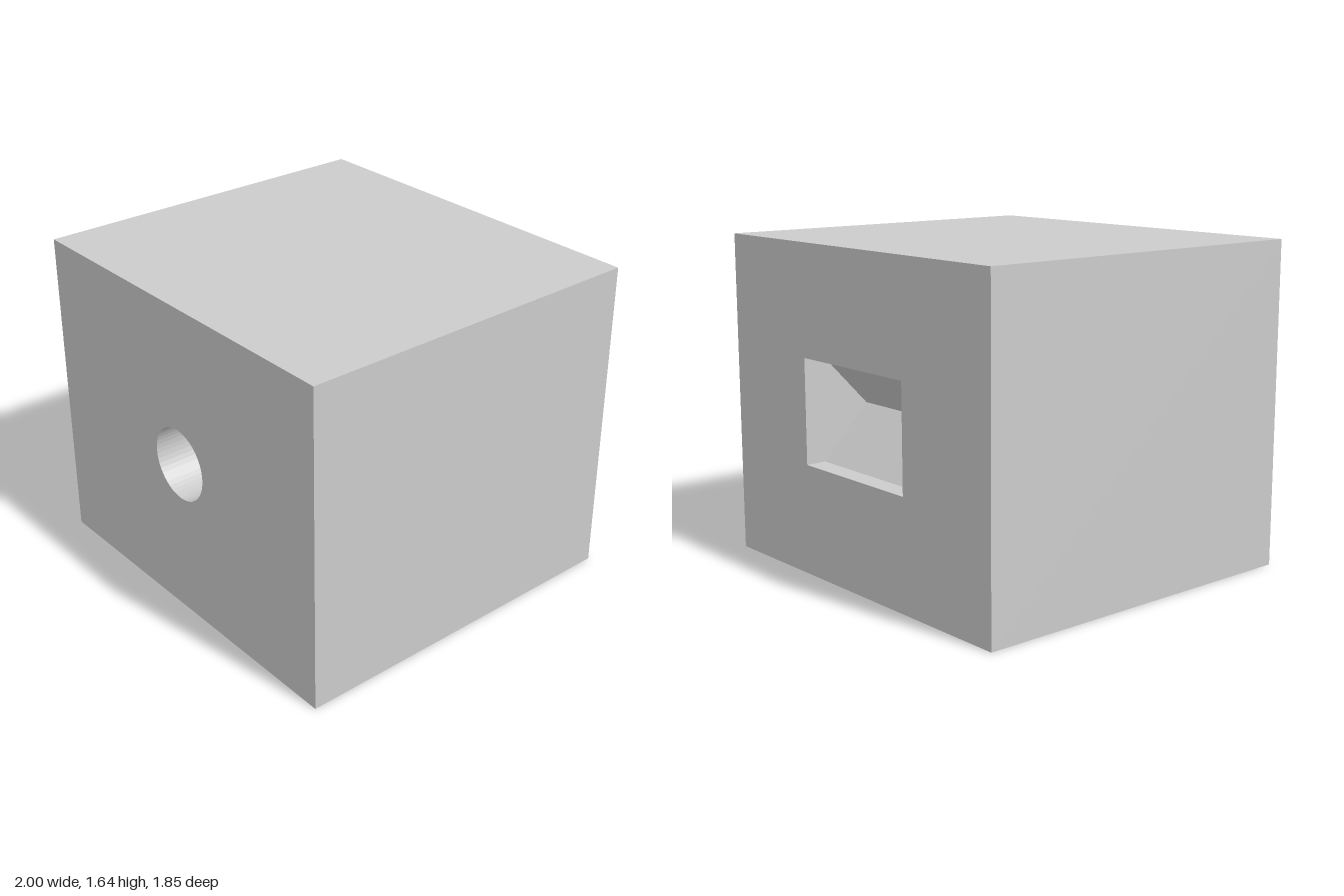
import * as THREE from 'three';

const W = 2, H = 1.645, D = 1.845, CY = H / 2;
const HOLE_R = 0.186, HOLE_DEPTH = 0.24, SEG = 48;
const POCKET_W = 0.775, POCKET_H = 0.53, POCKET_STRAIGHT = 0.105, POCKET_DEPTH = 0.36;

export function createModel() {
  const group = new THREE.Group();
  const solid = new THREE.MeshStandardMaterial({ color: 0xcccccc, flatShading: true });
  const inner = new THREE.MeshStandardMaterial({ color: 0xcccccc, flatShading: true, side: THREE.DoubleSide });

  const add = (name, geometry, material, x = 0, y = 0, z = 0, rx = 0, ry = 0) => {
    const mesh = new THREE.Mesh(geometry, material);
    mesh.name = name;
    mesh.position.set(x, y, z);
    mesh.rotation.set(rx, ry, 0);
    group.add(mesh);
    return mesh;
  };

  const rect = (Type, w, h) => new Type([[-w, -h], [w, -h], [w, h], [-w, h]]
    .map(([x, y]) => new THREE.Vector2(x / 2, y / 2)));
  const panel = (hole) => {
    const shape = rect(THREE.Shape, W, H);
    shape.holes.push(hole);
    return new THREE.ShapeGeometry(shape, SEG / 2);
  };

  // Outer block: front and back faces carry the openings
  const circle = new THREE.Path().absarc(0, 0, HOLE_R, 0, Math.PI * 2, true);
  add('frontFace', panel(circle), solid, 0, CY, D / 2);
  add('backFace', panel(rect(THREE.Path, POCKET_W, POCKET_H)), solid, 0, CY, -D / 2, 0, Math.PI);
  add('topFace', new THREE.PlaneGeometry(W, D), solid, 0, H, 0, -Math.PI / 2);
  add('bottomFace', new THREE.PlaneGeometry(W, D), solid, 0, 0, 0, Math.PI / 2);
  for (const [name, s] of [['leftFace', 1], ['rightFace', -1]]) {
    add(name, new THREE.PlaneGeometry(D, H), solid, s * W / 2, CY, 0, 0, s * Math.PI / 2);
  }

  // Round blind hole in the front
  const wall = new THREE.CylinderGeometry(HOLE_R, HOLE_R, HOLE_DEPTH, SEG, 1, true);
  add('holeWall', wall, inner, 0, CY, D / 2 - HOLE_DEPTH / 2, Math.PI / 2);
  add('holeFloor', new THREE.CircleGeometry(HOLE_R, SEG), solid, 0, CY, D / 2 - HOLE_DEPTH);

  // Rectangular pocket in the back, narrowing to a horizontal V; profile is (depth, height)
  const h = POCKET_H / 2, w = POCKET_W / 2;
  const profile = [[0, -h], [POCKET_STRAIGHT, -h], [POCKET_DEPTH, 0], [POCKET_STRAIGHT, h], [0, h]];
  const positions = [], indices = [];
  profile.forEach(([d, y], i) => {
    positions.push(-w, y, d, w, y, d);
    if (i < profile.length - 1) {
      const a = i * 2;
      indices.push(a, a + 2, a + 1, a + 1, a + 2, a + 3);
    }
  });
  const strip = new THREE.BufferGeometry();
  strip.setAttribute('position', new THREE.Float32BufferAttribute(positions, 3));
  strip.setIndex(indices);
  const flat = strip.toNonIndexed();
  flat.computeVertexNormals();
  add('pocketSurface', flat, inner, 0, CY, -D / 2);

  // Pocket end walls
  const end = new THREE.Shape(profile.map(([d, y]) => new THREE.Vector2(d, y)));
  for (const [name, s] of [['pocketLeftWall', 1], ['pocketRightWall', -1]]) {
    add(name, new THREE.ShapeGeometry(end), inner, s * w, CY, -D / 2, 0, -Math.PI / 2);
  }

  return group;
}
